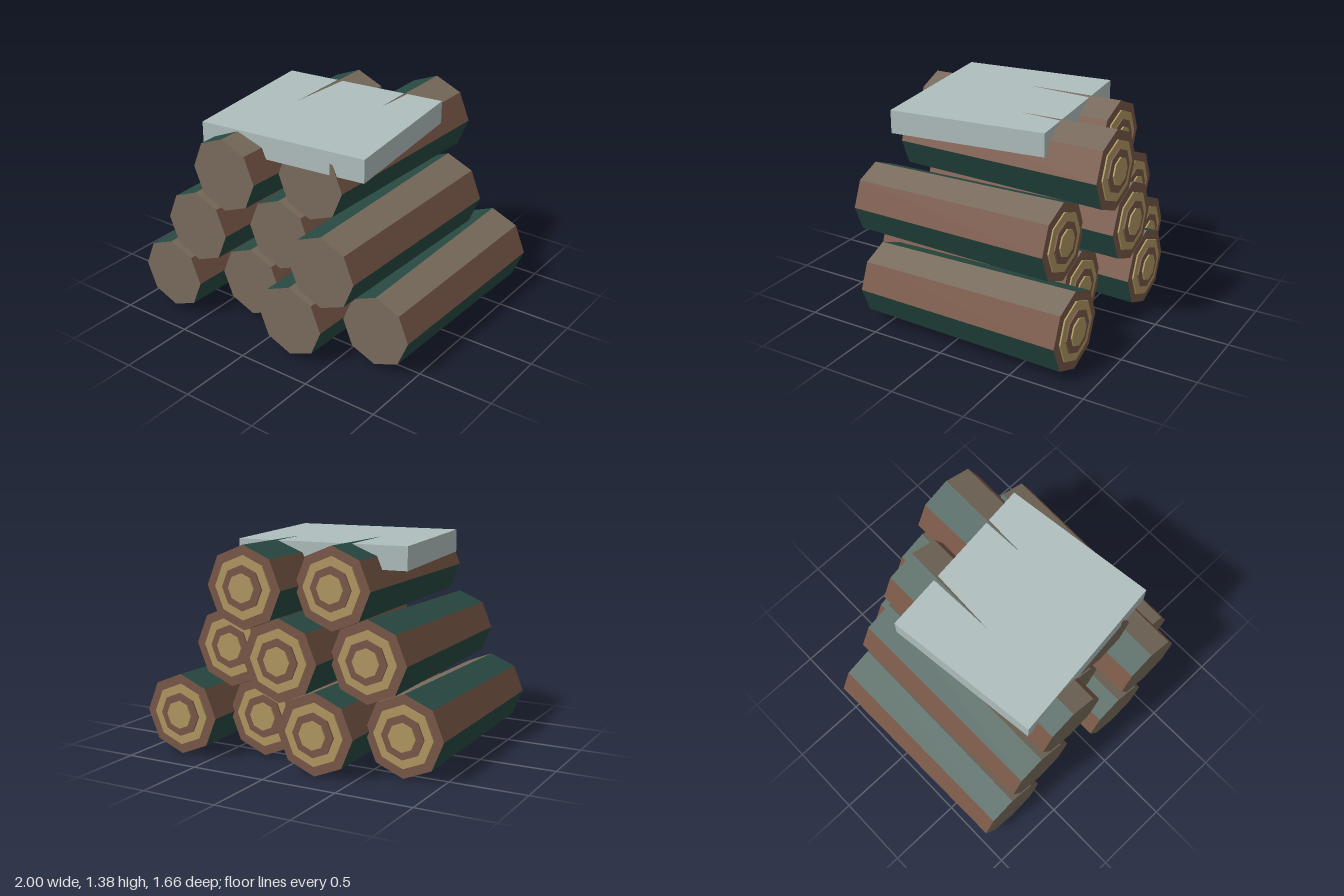
import * as THREE from 'three';

const mat = (name, color) => new THREE.MeshStandardMaterial({ name, color, flatShading: true });

export function createModel() {
  const bark = mat('bark brown', 0x795747);
  const taupe = mat('weathered taupe', 0x776a5b);
  const moss = mat('moss green', 0x274a42);
  const tan = mat('ring tan', 0xaf9761);
  const slate = mat('slab grey', 0xb0bebe);
  const logMaterials = [bark, taupe, moss];

  const SIDES = 8, LENGTH = 1.41, R_BACK = 0.263, R_FRONT = 0.24;

  // Tapered octagonal log lying along z, each facet with its own colour
  const logGeo = new THREE.CylinderGeometry(R_FRONT, R_BACK, LENGTH, SIDES);
  logGeo.rotateX(Math.PI / 2);
  logGeo.clearGroups();
  [1, 2, 0, 1, 2, 0, 2, 0].forEach((m, i) => logGeo.addGroup(i * 6, 6, m));
  logGeo.addGroup(SIDES * 6, SIDES * 3, 1); // front end
  logGeo.addGroup(SIDES * 9, SIDES * 3, 0); // back end

  // Stepped growth rings on the back end
  const rings = [
    { name: 'outerRing', r: 0.2, h: 0.01, m: tan },
    { name: 'middleRing', r: 0.142, h: 0.02, m: bark },
    { name: 'core', r: 0.092, h: 0.03, m: tan },
  ].map(({ name, r, h, m }) => {
    const geo = new THREE.CylinderGeometry(r, r, h, SIDES);
    geo.rotateX(Math.PI / 2);
    geo.translate(0, 0, -LENGTH / 2 - h / 2);
    return { name, geo, m };
  });

  function makeLog() {
    const log = new THREE.Group();
    log.name = 'log';
    const trunk = new THREE.Mesh(logGeo, logMaterials);
    trunk.name = 'trunk';
    log.add(trunk);
    for (const { name, geo, m } of rings) {
      const ring = new THREE.Mesh(geo, m);
      ring.name = name;
      log.add(ring);
    }
    return log;
  }

  const model = new THREE.Group();
  model.name = 'logPile';

  // Rows of four, three and two logs, alternately pushed forward and back
  for (let row = 0; row < 3; row++) {
    const count = 4 - row;
    for (let i = 0; i < count; i++) {
      const log = makeLog();
      log.position.set(
        (i - (count - 1) / 2) * 0.491,
        R_BACK + row * 0.428,
        i % 2 === 0 ? 0.125 : -0.095
      );
      model.add(log);
    }
  }

  // Flat slab resting askew, with the top logs poking through
  const slab = new THREE.Mesh(new THREE.BoxGeometry(1.136, 0.152, 1.04), slate);
  slab.name = 'slab';
  slab.position.set(0, 1.295, 0.133);
  slab.rotation.y = 0.117;
  model.add(slab);

  return model;
}
